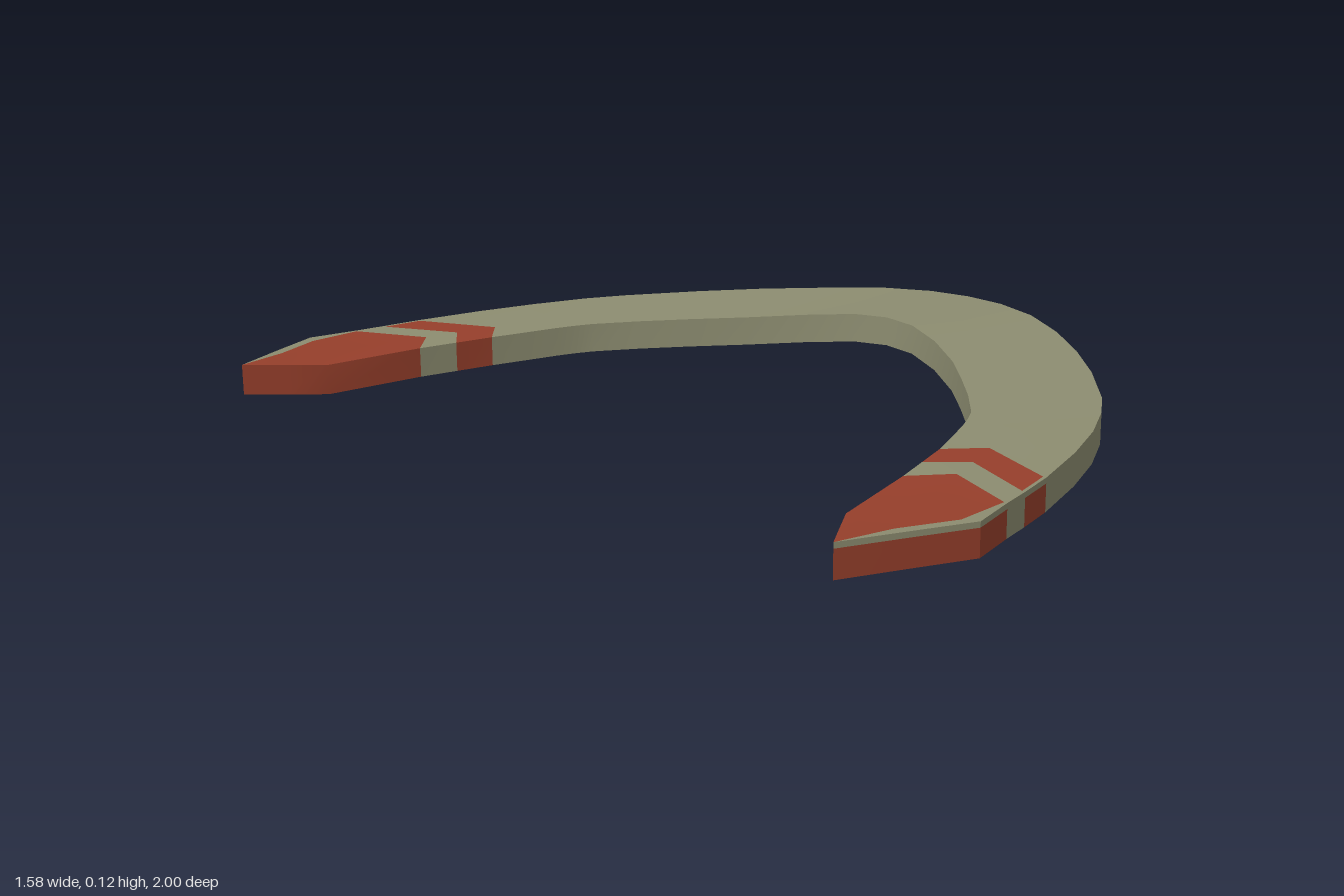
import * as THREE from 'three';
import { toCreasedNormals } from 'three/addons/utils/BufferGeometryUtils.js';

const THICKNESS = 0.07;
const RIM = 0.012;

// Stations of one arm, from the elbow to the tip: inner edge and outer edge as [x, top y, z].
// mid bends a station into a chevron, near widens the bare rim, red paints up to the next station.
const STATIONS = [
  { i: [0.46, 0.115, 0], o: [0.79, 0.112, 0] },
  { i: [0.445, 0.112, 0.09], o: [0.78, 0.111, 0.11] },
  { i: [0.39, 0.102, 0.2], o: [0.74, 0.108, 0.23] },
  { i: [0.30, 0.092, 0.32], o: [0.66, 0.102, 0.36] },
  { i: [0.2, 0.089, 0.42], o: [0.55, 0.098, 0.49] },
  { i: [0.11, 0.086, 0.505], o: [0.43, 0.093, 0.61] },
  { i: [0.02, 0.083, 0.58], o: [0.28, 0.088, 0.735] },
  { i: [-0.02, 0.082, 0.602], o: [0.19, 0.086, 0.792] },
  { i: [-0.06, 0.081, 0.62], o: [0.07, 0.083, 0.85] },
  { i: [-0.13, 0.079, 0.647], o: [-0.07, 0.081, 0.9] },
  { i: [-0.22, 0.077, 0.68], o: [-0.235, 0.079, 0.945], mid: [-0.15, 0.75], red: true },
  { i: [-0.31, 0.076, 0.705], o: [-0.33, 0.078, 0.963], mid: [-0.245, 0.78] },
  { i: [-0.40, 0.075, 0.73], o: [-0.405, 0.078, 0.976], mid: [-0.325, 0.80], red: true },
  { i: [-0.63, 0.07, 0.78], o: [-0.52, 0.078, 1], mid: [-0.58, 0.88], near: [-0.535, 0.968], red: true },
  { i: [-0.71, 0.076, 0.832], o: [-0.655, 0.081, 0.943], mid: [-0.68, 0.87], near: [-0.66, 0.915], red: true },
  { i: [-0.79, 0.083, 0.885], o: [-0.79, 0.083, 0.885] },
];

// Turns a station into points, mirrored in z by side
function section({ i, o, mid, near, red }, side) {
  const at = (p) => new THREE.Vector3(p[0], p[1], p[2] * side);
  const inner = at(i), outer = at(o);
  const place = (xz, t) => {
    const p = inner.clone().lerp(outer, t);
    if (xz) p.set(xz[0], p.y, xz[1] * side);
    return p;
  };
  const drop = (p, d) => p.clone().setY(p.y - d);
  return {
    red: !!red,
    top: [inner, place(mid, 0.45), place(near, 0.97), outer],
    outerWall: [outer, drop(outer, RIM), drop(outer, THICKNESS)],
    underside: [drop(outer, THICKNESS), drop(inner, THICKNESS)],
    innerWall: [drop(inner, THICKNESS), inner],
  };
}

// Skins rows of points; painted(row, column) picks the second material
function skin(rows, painted) {
  const width = rows[0].length;
  const plain = [], paint = [];
  for (let r = 0; r < rows.length - 1; r++) {
    for (let c = 0; c < width - 1; c++) {
      const a = r * width + c, b = a + 1, d = a + width, e = d + 1;
      (painted(r, c) ? paint : plain).push(a, b, d, b, e, d);
    }
  }
  const geometry = new THREE.BufferGeometry().setFromPoints(rows.flat());
  geometry.setIndex([...plain, ...paint]);
  geometry.addGroup(0, plain.length, 0);
  if (paint.length) geometry.addGroup(plain.length, paint.length, 1);
  return toCreasedNormals(geometry, 0.4);
}

export function createModel() {
  const olive = new THREE.MeshStandardMaterial({ name: 'olive', color: 0x8c8c70 });
  const red = new THREE.MeshStandardMaterial({ name: 'brickRed', color: 0x963f2b });

  // Whole curve: one arm tip, through the elbow, to the other tip
  const sections = [
    ...STATIONS.slice(1).reverse().map((s) => section(s, 1)),
    ...STATIONS.map((s) => section(s, -1)),
  ];
  const half = STATIONS.length - 1;
  const isRed = (r) => sections[r < half ? r + 1 : r].red;

  const boomerang = new THREE.Group();
  boomerang.name = 'boomerang';
  const add = (name, part, painted) => {
    const mesh = new THREE.Mesh(skin(sections.map((s) => s[part]), painted), [olive, red]);
    mesh.name = name;
    boomerang.add(mesh);
  };

  // Chevron bands and tips are red; a thin rim along the outer edge stays bare
  add('topFace', 'top', (r, c) => isRed(r) && c < 2);
  add('outerEdge', 'outerWall', (r, c) => isRed(r) && c === 1);
  add('underside', 'underside', () => false);
  add('innerEdge', 'innerWall', isRed);
  return boomerang;
}
